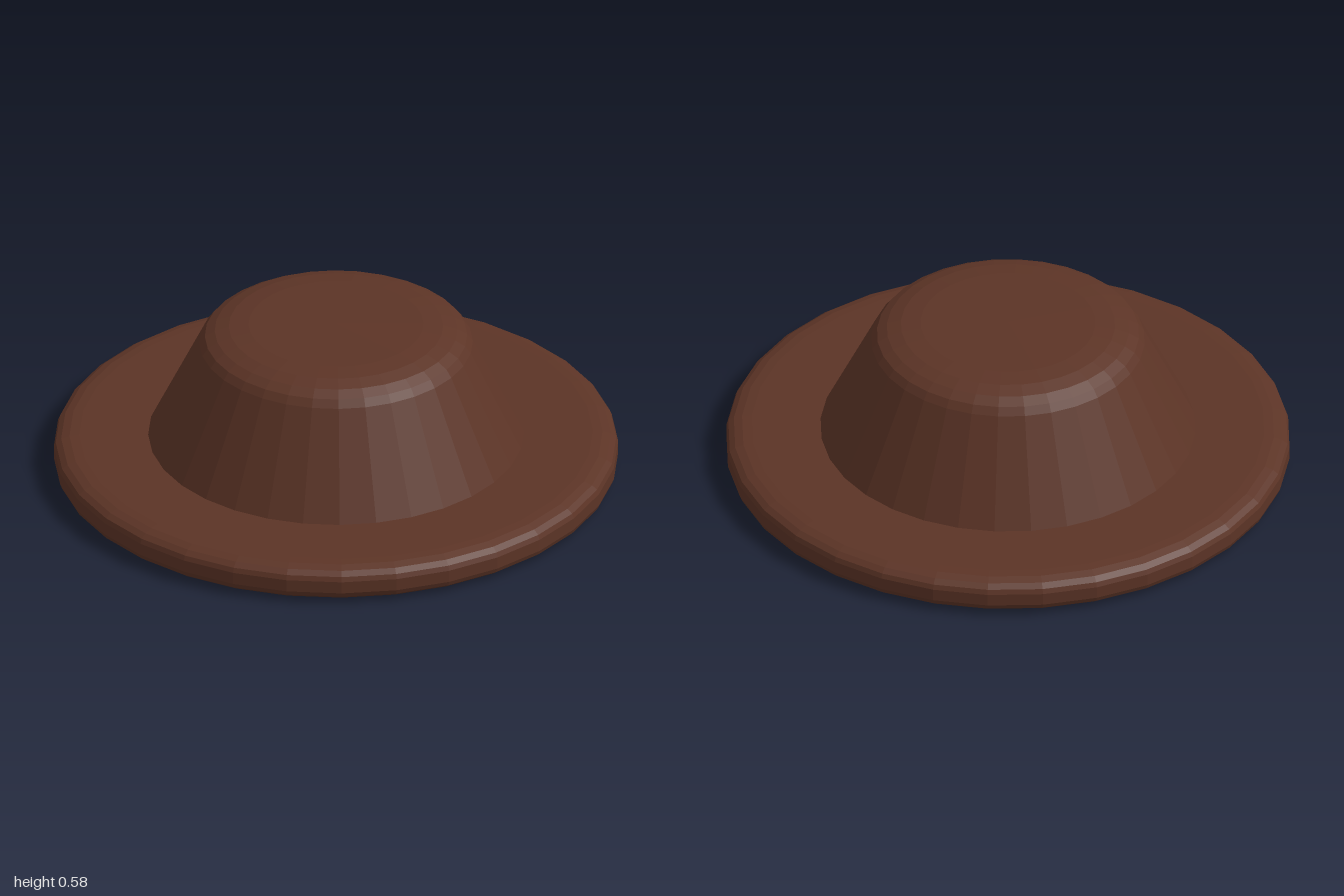
import * as THREE from 'three';

const SIDES = 32;

// Quarter-ellipse of profile points around (cx, cy), from angle a0 to a1 in degrees
function roundEdge(cx, cy, rx, ry, a0, a1, steps = 4) {
  return Array.from({ length: steps + 1 }, (_, i) => {
    const a = THREE.MathUtils.degToRad(a0 + ((a1 - a0) * i) / steps);
    return [cx + rx * Math.cos(a), cy + ry * Math.sin(a)];
  });
}

function turned(name, profile, material) {
  const points = profile.map(([r, y]) => new THREE.Vector2(r, y));
  const mesh = new THREE.Mesh(new THREE.LatheGeometry(points, SIDES), material);
  mesh.name = name;
  return mesh;
}

export function createModel() {
  const model = new THREE.Group();
  model.name = 'hat';
  const felt = new THREE.MeshStandardMaterial({ color: 0x5c3426, flatShading: true });

  // Flat brim with rounded rims and a very shallow recess underneath
  model.add(turned('brim', [
    [0, 0.006], [0.545, 0.006], [0.545, 0],
    ...roundEdge(0.91, 0.045, 0.09, 0.045, -90, 0),
    ...roundEdge(0.91, 0.09, 0.09, 0.045, 0, 90),
    [0.66, 0.135],
  ], felt));

  // Tapered crown with a softened top edge
  model.add(turned('crown', [
    [0.668, 0.13], [0.485, 0.505],
    [0.465, 0.532], [0.43, 0.553], [0.38, 0.569], [0.31, 0.578],
    [0, 0.58],
  ], felt));

  return model;
}
